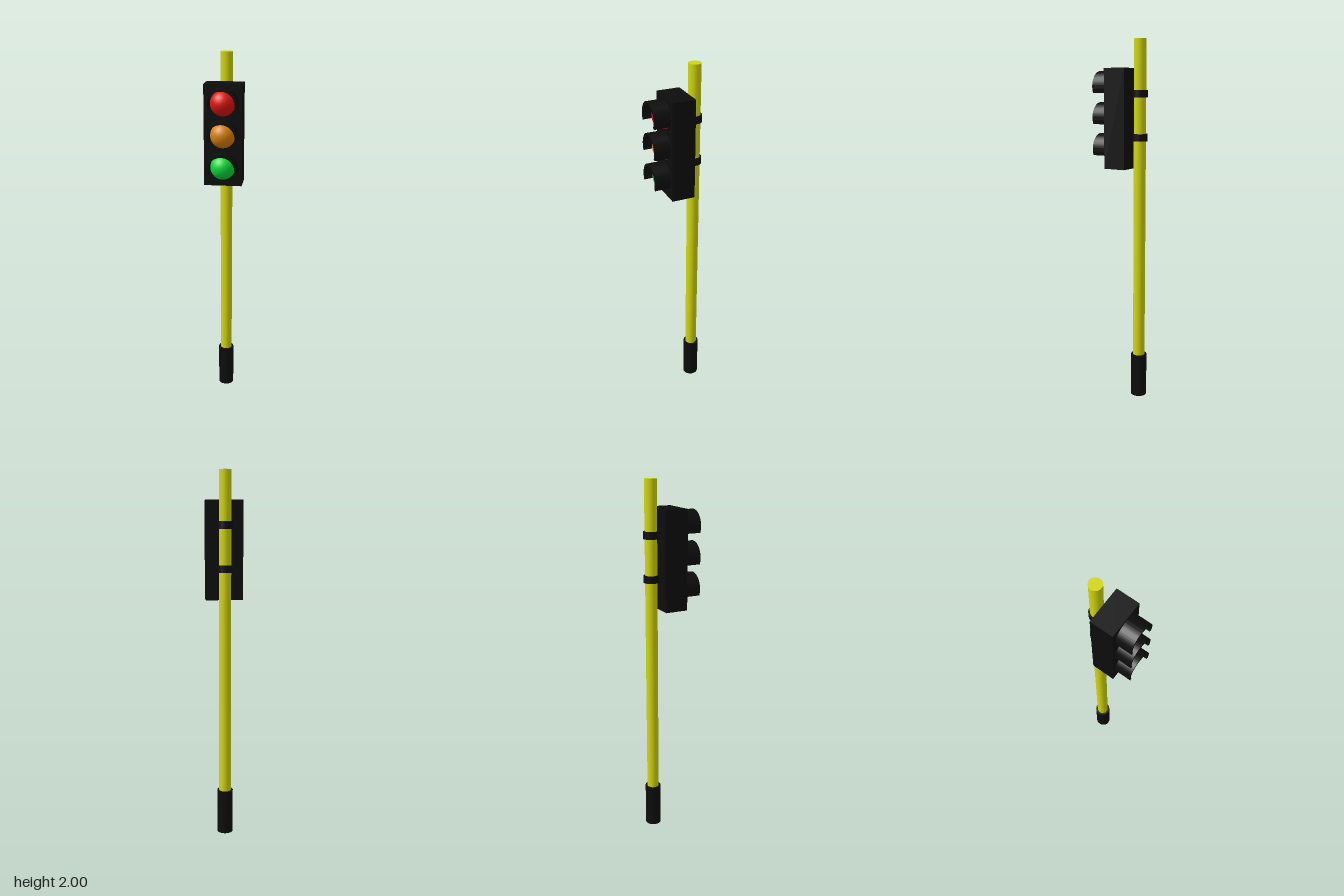
import * as THREE from 'three';
import { toCreasedNormals } from 'three/addons/utils/BufferGeometryUtils.js';

const paint = (color) => new THREE.MeshStandardMaterial({ color });

export function createModel() {
  const model = new THREE.Group();
  const black = paint(0x0d0d0d);
  const yellow = paint(0xd2d60e);
  const poleZ = -0.104;

  const add = (name, geometry, material, x, y, z) => {
    const mesh = new THREE.Mesh(geometry, material);
    mesh.name = name;
    mesh.position.set(x, y, z);
    model.add(mesh);
    return mesh;
  };
  const upright = (name, radius, y0, y1, material) =>
    add(name, new THREE.CylinderGeometry(radius, radius, y1 - y0, 32), material, 0, (y0 + y1) / 2, poleZ);

  // Pole, its base sleeve and the two clamps holding the signal box
  upright('pole', 0.033, 0.01, 2, yellow);
  upright('baseSleeve', 0.044, 0, 0.245, black);
  upright('lowerClamp', 0.041, 1.465, 1.504, black);
  upright('upperClamp', 0.041, 1.696, 1.735, black);

  // Signal box
  add('signalBox', new THREE.BoxGeometry(0.202, 0.535, 0.126), black, 0, 1.5825, -0.003);

  // Visor: a shell that wraps over the lamp and a little below its middle
  const drop = 0.43;
  const arc = new THREE.Shape();
  arc.absarc(0, 0, 0.083, -drop, Math.PI + drop, false);
  arc.absarc(0, 0, 0.071, Math.PI + drop, -drop, true);
  const visor = toCreasedNormals(
    new THREE.ExtrudeGeometry(arc, { depth: 0.098, bevelEnabled: false, curveSegments: 32 }), 0.6);

  // Three lamps, each a ball half sunk in the box
  const lens = new THREE.SphereGeometry(0.067, 32, 20);
  const lamps = [['red', 1.754, 0xdc160e], ['amber', 1.587, 0xd8800c], ['green', 1.417, 0x0cd83a]];
  for (const [name, y, color] of lamps) {
    add(name + 'Lamp', lens, paint(color), 0, y, 0.058);
    add(name + 'Visor', visor, black, 0, y, 0.05);
  }
  return model;
}
